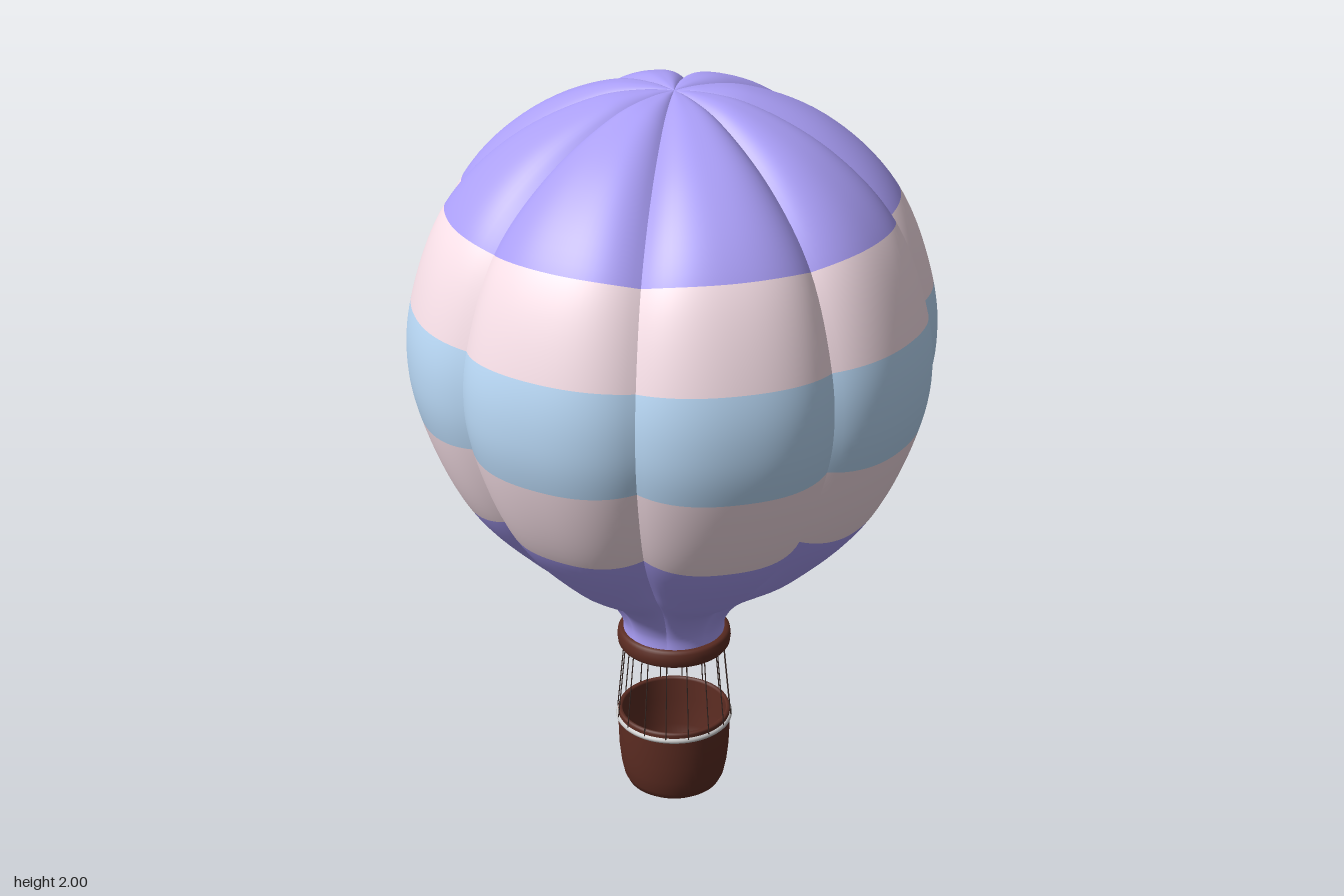
import * as THREE from 'three';

const PURPLE = 0xaca0fa, PINK = 0xfae2ea, BLUE = 0xbcdcfa, BROWN = 0x5c2c22, WHITE = 0xffffff, ROPE = 0x3a2a26;
const GORES = 8, ACROSS = 24, STEPS = 8;

const mat = (color, side = THREE.FrontSide) => {
  const m = new THREE.MeshStandardMaterial({ color });
  m.side = side;
  return m;
};

function add(parent, name, geometry, material) {
  const mesh = new THREE.Mesh(geometry, material);
  mesh.name = name;
  parent.add(mesh);
  return mesh;
}

// Seam profile of the envelope (radius, height), from mouth to crown
const SEAM = [
  [0.136, 0.46], [0.138, 0.53], [0.188, 0.622], [0.345, 0.77], [0.517, 0.968],
  [0.615, 1.2], [0.636, 1.325], [0.622, 1.465], [0.535, 1.693],
  [0.378, 1.855], [0.18, 1.964], [0.07, 1.99], [0, 1.995],
];
// Colour bands, as ranges of seam profile points
const BANDS = [
  ['lowerBand', 0, 4, PURPLE], ['lowerPinkBand', 4, 5, PINK], ['middleBand', 5, 7, BLUE],
  ['upperPinkBand', 7, 8, PINK], ['crownBand', 8, 12, PURPLE],
];

// Puffed gores: each bulges out from its two seams along the profile normal
function buildEnvelope() {
  const group = new THREE.Group();
  group.name = 'envelope';
  const curve = new THREE.CatmullRomCurve3(SEAM.map(([r, y]) => new THREE.Vector3(r, y, 0)));
  const rows = (SEAM.length - 1) * STEPS;
  const cols = ACROSS + 1;
  const positions = [];
  const half = Math.PI / GORES;
  for (let g = 0; g < GORES; g++) {
    for (let i = 0; i <= rows; i++) {
      const p = curve.getPoint(i / rows);
      const t = curve.getTangent(i / rows);
      const radius = i === rows ? 0 : Math.max(p.x, 0);
      const puff = 0.044 * Math.sin(Math.min(1, radius / 0.5) * Math.PI / 2)
        * THREE.MathUtils.smoothstep(p.y, 0.44, 0.78);
      for (let j = 0; j < cols; j++) {
        const u = j / ACROSS * 2 - 1;
        const d = puff * (1 - Math.abs(u) ** 3);
        const r = radius + d * t.y, y = p.y - d * t.x;
        const a = (2 * g + 1 + u) * half;
        positions.push(r * Math.cos(a), y, r * Math.sin(a));
      }
    }
  }
  const indexFor = (from, to) => {
    const index = [];
    for (let g = 0; g < GORES; g++)
      for (let i = from * STEPS; i < to * STEPS; i++)
        for (let j = 0; j < ACROSS; j++) {
          const a = (g * (rows + 1) + i) * cols + j, b = a + cols;
          index.push(a, b, a + 1, b, b + 1, a + 1);
        }
    return index;
  };
  // Normals are shared by all bands, so shading runs smoothly across the colours
  const whole = new THREE.BufferGeometry();
  whole.setAttribute('position', new THREE.Float32BufferAttribute(positions, 3));
  whole.setIndex(indexFor(0, SEAM.length - 1));
  whole.computeVertexNormals();
  for (const [name, from, to, color] of BANDS) {
    const band = new THREE.BufferGeometry();
    band.setAttribute('position', whole.getAttribute('position'));
    band.setAttribute('normal', whole.getAttribute('normal'));
    band.setIndex(indexFor(from, to));
    add(group, name, band, mat(color, THREE.DoubleSide));
  }
  return group;
}

const lathe = (pts) => new THREE.LatheGeometry(pts.map(([r, y]) => new THREE.Vector2(r, y)), 64);

// Thin cylinder between two points
function rope(a, b, radius) {
  const g = new THREE.CylinderGeometry(radius, radius, a.distanceTo(b), 6);
  const dir = b.clone().sub(a).normalize();
  g.applyQuaternion(new THREE.Quaternion().setFromUnitVectors(new THREE.Vector3(0, 1, 0), dir));
  const mid = a.clone().add(b).multiplyScalar(0.5);
  return g.translate(mid.x, mid.y, mid.z);
}

export function createModel() {
  const model = new THREE.Group();
  model.name = 'hotAirBalloon';
  model.add(buildEnvelope());

  // Open ring under the mouth
  add(model, 'mouthRing', lathe([
    [0.126, 0.45], [0.13, 0.443], [0.136, 0.441], [0.146, 0.443], [0.151, 0.45], [0.153, 0.466],
    [0.151, 0.482], [0.146, 0.489], [0.136, 0.491], [0.13, 0.489], [0.126, 0.482], [0.126, 0.45],
  ]), mat(BROWN, THREE.DoubleSide));

  // Hollow basket with a rounded base
  add(model, 'basket', lathe([
    [0, 0], [0.09, 0], [0.112, 0.005], [0.127, 0.016], [0.137, 0.036], [0.145, 0.075],
    [0.15, 0.12], [0.152, 0.17], [0.153, 0.232], [0.151, 0.238], [0.143, 0.238], [0.141, 0.232],
    [0.14, 0.17], [0.136, 0.09], [0.125, 0.04], [0.11, 0.03], [0, 0.03],
  ]), mat(BROWN, THREE.DoubleSide));

  // Pale cord round the basket
  const cord = new THREE.TorusGeometry(0.151, 0.008, 12, 64).rotateX(Math.PI / 2).translate(0, 0.217, 0);
  add(model, 'basketCord', cord, mat(WHITE));

  // Suspension ropes
  const ropes = new THREE.Group();
  ropes.name = 'ropes';
  const ropeMat = mat(ROPE);
  for (let k = 0; k < 16; k++) {
    const a = k * Math.PI / 8;
    const at = (r, y) => new THREE.Vector3(r * Math.sin(a), y, r * Math.cos(a));
    add(ropes, 'rope', rope(at(0.157, 0.215), at(0.134, 0.455), 0.0015), ropeMat);
  }
  model.add(ropes);
  return model;
}
